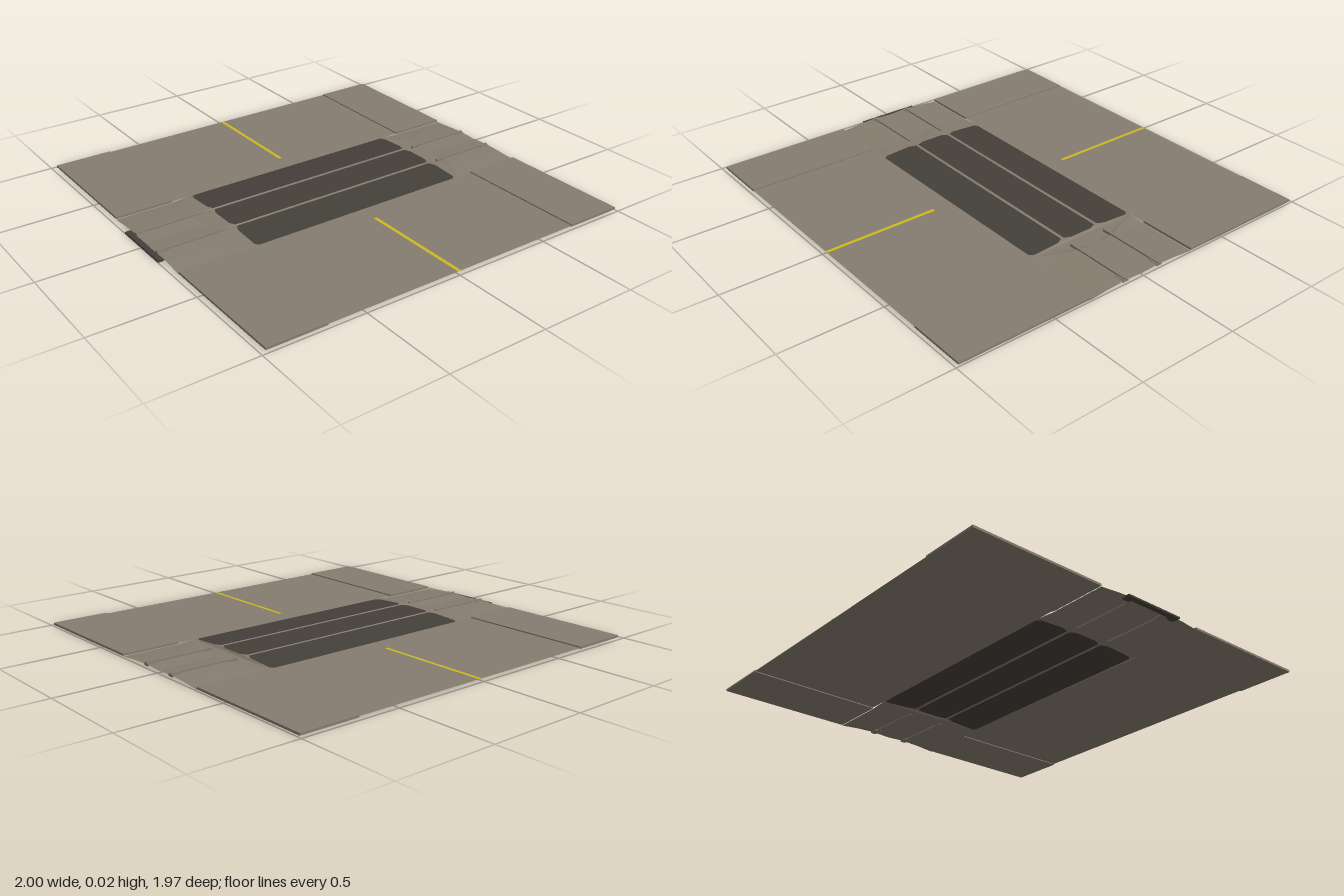
import * as THREE from 'three';

const CX = 0.01;      // tile centre in x
const HALF = 0.985;   // tile half size
const ROAD = 0.01;    // road height
const BED = [[0, 0.012], [0.1, 0.017], [0.2, 0.012], [0.3, 0.002]]; // end profile: |z|, y

export function createModel() {
  const root = new THREE.Group();
  const mat = (name, color) => {
    const m = new THREE.MeshStandardMaterial({ color, side: THREE.DoubleSide, flatShading: true });
    m.name = name;
    return m;
  };
  const concrete = mat('concrete', 0x857c6f);
  const rubber = mat('dark panel', 0x443f39);
  const yellow = mat('yellow paint', 0xcfb91c);

  const add = (name, geo, material) => {
    const mesh = new THREE.Mesh(geo, material);
    mesh.name = name;
    root.add(mesh);
    return mesh;
  };
  const box = (name, x0, x1, y0, y1, z0, z1, m) =>
    add(name, new THREE.BoxGeometry(x1 - x0, y1 - y0, z1 - z0), m)
      .position.set((x0 + x1) / 2, (y0 + y1) / 2, (z0 + z1) / 2);

  // Height of the crossing: low at the outer rim, raised to the rails inside
  const height = (x, z) => {
    const a = Math.abs(z);
    if (Math.abs(x - CX) > 0.68) return BED.find(p => Math.abs(p[0] - a) < 0.01)[1];
    const t = THREE.MathUtils.clamp((0.3 - a) / 0.19, 0, 1);
    return ROAD + 0.011 * t;
  };
  // Flat outline lifted onto the crossing surface
  const sheet = (name, shape, m) => {
    const indexed = new THREE.ShapeGeometry(shape);
    indexed.rotateX(-Math.PI / 2);
    const geo = indexed.toNonIndexed();
    const p = geo.attributes.position;
    for (let i = 0; i < p.count; i++) p.setY(i, height(p.getX(i), p.getZ(i)));
    geo.computeVertexNormals();
    return add(name, geo, m);
  };
  const points = list => list.map(([x, y]) => new THREE.Vector2(x, y));

  // Outlines of the three dark panels between and beside the rails
  const side = s => points([
    [CX - 0.59, 0.28 * s], [CX - 0.575, 0.297 * s], [CX + 0.575, 0.297 * s], [CX + 0.59, 0.28 * s],
    [CX + 0.59, 0.14 * s], [CX + 0.575, 0.108 * s], [CX - 0.575, 0.108 * s], [CX - 0.59, 0.14 * s],
  ]);
  const middle = points([
    [CX - 0.59, 0.06], [CX - 0.575, 0.092], [CX + 0.575, 0.092], [CX + 0.59, 0.06],
    [CX + 0.59, -0.06], [CX + 0.575, -0.092], [CX - 0.575, -0.092], [CX - 0.59, -0.06],
  ]);
  const panels = [side(1), middle, side(-1)];

  // Crossing deck with openings for the panels
  const zs = [-0.3, -0.2, -0.1, 0, 0.1, 0.2, 0.3];
  const rim = [
    ...zs.map(z => [CX + 0.69, z]), [CX + 0.6, 0.3], [CX - 0.6, 0.3],
    ...zs.slice().reverse().map(z => [CX - 0.69, z]), [CX - 0.6, -0.3], [CX + 0.6, -0.3],
  ];
  const deck = new THREE.Shape(points(rim));
  panels.forEach(p => deck.holes.push(new THREE.Path(p)));
  sheet('crossingDeck', deck, concrete);
  panels.forEach(p => sheet('crossingPanel', new THREE.Shape(p), rubber));

  for (const s of [-1, 1]) {
    // Road approach and its centre line
    const road = new THREE.PlaneGeometry(1.38, HALF - 0.3).rotateX(-Math.PI / 2);
    add('roadApproach', road, concrete).position.set(CX, ROAD, s * (HALF + 0.3) / 2);
    const line = new THREE.PlaneGeometry(0.018, HALF - 0.4).rotateX(-Math.PI / 2);
    add('centreLine', line, yellow).position.set(CX, ROAD + 0.001, s * (HALF + 0.4) / 2);

    // Track bed at each end, swept from the bed profile
    const xs = [CX + s * 0.69, CX + s * HALF].sort((a, b) => a - b);
    const bed = new THREE.PlaneGeometry(xs[1] - xs[0], 0.6, 1, 6).rotateX(-Math.PI / 2);
    const p = bed.attributes.position;
    for (let i = 0; i < p.count; i++) {
      p.setY(i, BED[Math.round(Math.abs(p.getZ(i)) * 10)][1]);
    }
    bed.computeVertexNormals();
    add('trackBed', bed, concrete).position.x = (xs[0] + xs[1]) / 2;

    for (const t of [-1, 1]) {
      // Raised corner slab
      const [a, b] = [CX + t * 0.69, CX + t * HALF].sort((m, n) => m - n);
      const [c, d] = [s * 0.3, s * HALF].sort((m, n) => m - n);
      box('cornerSlab', a, b, 0.005, 0.016, c, d, concrete);

      // Exposed rail and its joint at the tile edge
      const [e, f] = [CX + s * 0.635, CX + s * HALF].sort((m, n) => m - n);
      box('rail', e, f, 0.008, 0.024, t * 0.1 - 0.006, t * 0.1 + 0.006, concrete);
      const [g, h] = [CX + s * 0.935, CX + s * HALF].sort((m, n) => m - n);
      box('railJoint', g, h, 0.008, 0.019, t * 0.1 - 0.015, t * 0.1 + 0.015, concrete);
    }
  }

  // Dark connector at one end of the track
  box('connectorPlate', -1, -0.972, 0, 0.009, -0.16, 0.16, rubber);
  for (const s of [-1, 1]) {
    box('connectorTab', -0.974, -0.957, 0, 0.009, s * 0.138 - 0.018, s * 0.138 + 0.018, rubber);
  }
  return root;
}
